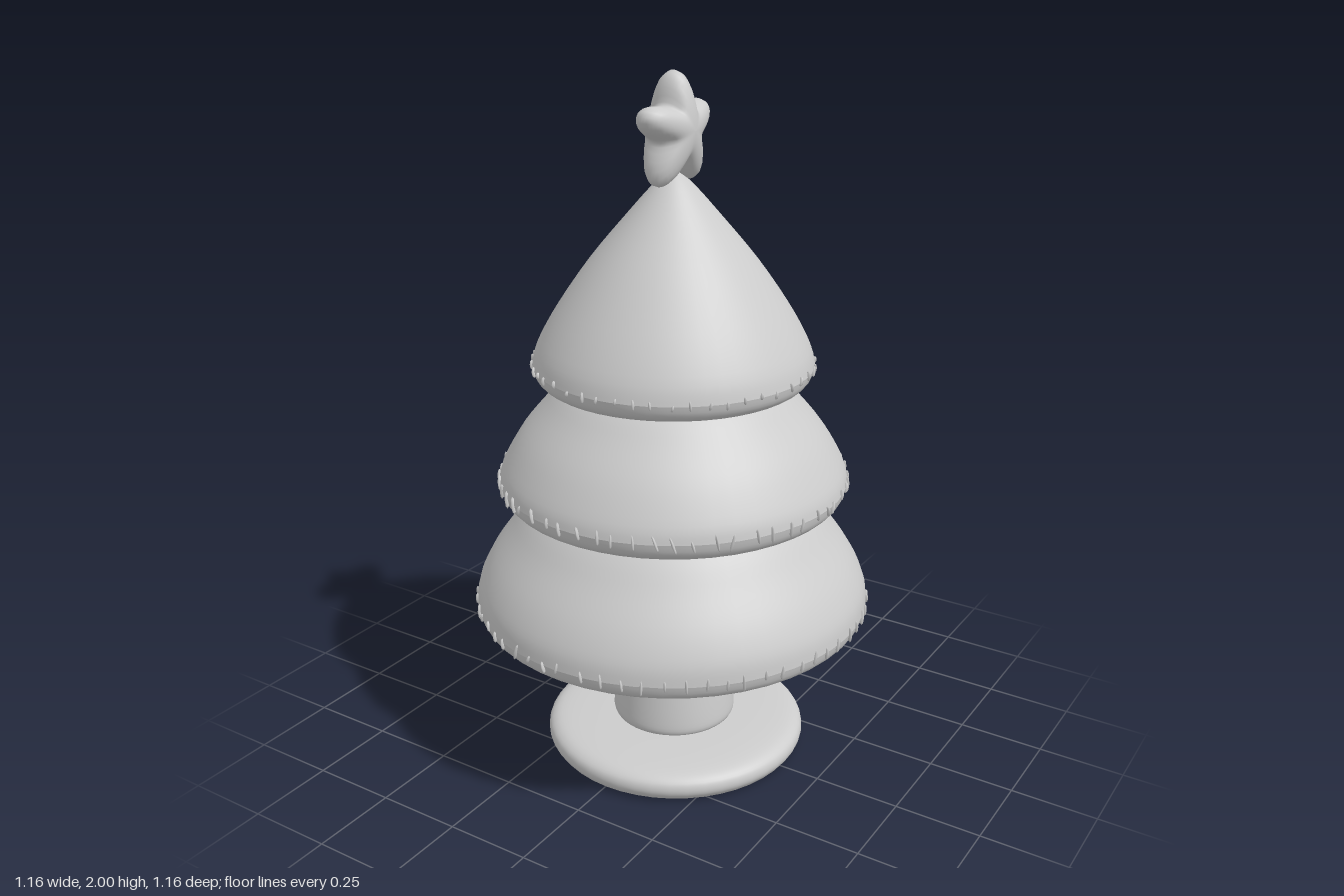
import * as THREE from 'three';

const felt = new THREE.MeshStandardMaterial({ color: 0xcccccc });
felt.name = 'plain grey';

let seed = 7;
const rand = () => (seed = (seed * 16807) % 2147483647) / 2147483647;

const add = (parent, name, geometry) => {
  const mesh = new THREE.Mesh(geometry, felt);
  mesh.name = name;
  parent.add(mesh);
  return mesh;
};

// Smooth turned surface through a few [radius, height] points, bottom to top
function turned(points, samples = 16) {
  const curve = new THREE.SplineCurve(points.map(([r, y]) => new THREE.Vector2(r, y)));
  const profile = curve.getPoints(samples);
  profile.forEach((p) => { p.x = Math.max(0, p.x); });
  return new THREE.LatheGeometry(profile, 48);
}

// One foliage tier: underside, upper cone and a ring of small stitches on the seam
function tier(name, under, upper, stitches, length) {
  const group = new THREE.Group();
  group.name = name;
  add(group, name + 'Underside', turned(under));
  add(group, name + 'Cone', turned(upper, 20));
  const [radius, y] = upper[0];
  const bead = new THREE.SphereGeometry(1, 6, 4);
  for (let i = 0; i < stitches; i++) {
    const a = ((i + rand() * 0.5) / stitches) * Math.PI * 2;
    const stitch = add(group, 'stitch', bead);
    stitch.position.set(Math.sin(a) * radius, y + (rand() - 0.5) * 0.012, Math.cos(a) * radius);
    stitch.scale.set(0.004, length * (0.5 + rand() * 0.5), 0.007);
    stitch.rotation.set(0, a, (rand() - 0.5) * 0.7);
  }
  return group;
}

// Puffy five-pointed star lying in the y-z plane
function starGeometry() {
  const geometry = new THREE.SphereGeometry(1, 60, 24);
  geometry.rotateZ(-Math.PI / 2);
  const pos = geometry.attributes.position;
  for (let i = 0; i < pos.count; i++) {
    const x = pos.getX(i), y = pos.getY(i), z = pos.getZ(i);
    const s = Math.hypot(y, z);
    const a = Math.atan2(z, y);
    const r = 0.117 + 0.036 * Math.cos(5 * a) * Math.min(1, s * 1.2);
    const drop = y < 0 ? 1.12 : 1;
    pos.setXYZ(i, x * 0.07, y * r * drop, z * r);
  }
  geometry.computeVertexNormals();
  return geometry;
}

export function createModel() {
  const tree = new THREE.Group();
  tree.name = 'tree';

  // Round padded foot
  const base = add(tree, 'base', turned([
    [0, 0.004], [0.2, 0.004], [0.35, 0.006], [0.38, 0.02], [0.388, 0.045],
    [0.375, 0.07], [0.33, 0.085], [0.2, 0.092], [0, 0.092],
  ], 32));
  base.position.x = 0.008;

  // Tapered trunk
  const trunk = add(tree, 'trunk', turned([
    [0.165, 0.085], [0.182, 0.1], [0.18, 0.15], [0.163, 0.28], [0.148, 0.44],
  ]));
  trunk.position.x = 0.003;

  // Three foliage tiers
  const lower = tier('lowerTier',
    [[0, 0.425], [0.22, 0.42], [0.41, 0.416], [0.52, 0.432], [0.562, 0.455], [0.575, 0.49]],
    [[0.575, 0.49], [0.566, 0.545], [0.53, 0.62], [0.47, 0.705], [0.405, 0.79], [0.3, 0.88]], 64, 0.028);
  lower.position.x = -0.005;
  const middle = tier('middleTier',
    [[0, 0.8], [0.22, 0.796], [0.39, 0.793], [0.46, 0.808], [0.49, 0.832], [0.5, 0.865]],
    [[0.5, 0.865], [0.487, 0.91], [0.435, 1.0], [0.365, 1.085], [0.305, 1.15], [0.2, 1.23]], 58, 0.028);
  const top = tier('topTier',
    [[0, 1.15], [0.2, 1.146], [0.3, 1.143], [0.36, 1.153], [0.387, 1.175], [0.396, 1.205]],
    [[0.396, 1.205], [0.38, 1.26], [0.325, 1.36], [0.235, 1.49], [0.135, 1.61], [0.05, 1.705], [0, 1.74]], 48, 0.016);
  tree.add(lower, middle, top);

  // Star on the tip
  const star = add(tree, 'star', starGeometry());
  star.position.y = 1.847;

  return tree;
}
